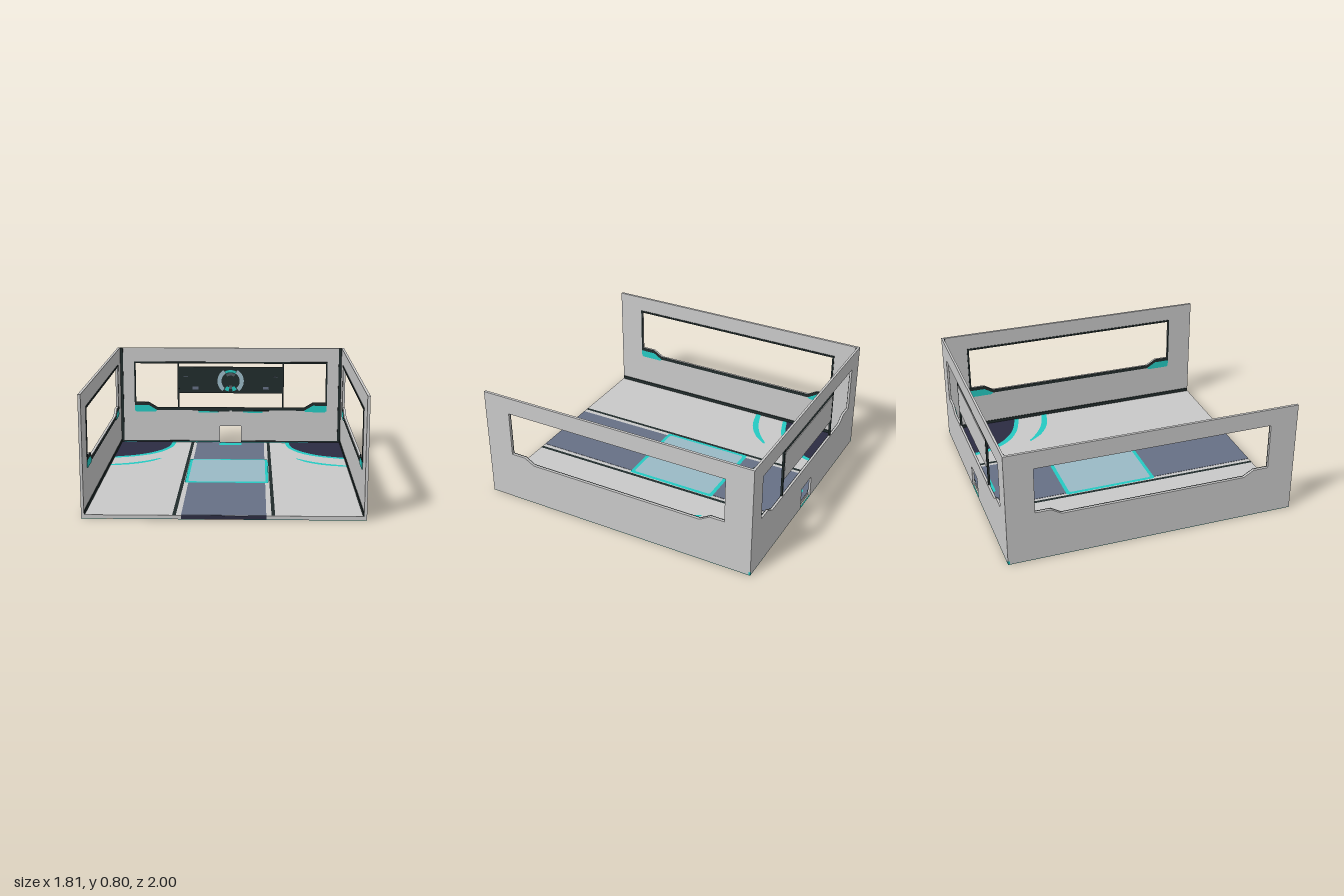
import * as THREE from 'three';

const mat = (name, color, side = THREE.FrontSide) => {
  const m = new THREE.MeshStandardMaterial({ color, side });
  m.name = name;
  return m;
};

export function createModel() {
  const model = new THREE.Group();
  model.name = 'room';
  const grey = mat('wall grey', 0xc9c9c9);
  const dark = mat('dark trim', 0x212c2c);
  const teal = mat('teal accent', 0x24cac2);
  const navy = mat('navy floor', 0x2c2c42);
  const slate = mat('slate walkway', 0x667085);
  const glass = mat('pale blue panel', 0x9abac6);
  const steel = mat('steel grey', 0x555d63);

  const W = 0.905, SIDE_T = 0.018, BACK_T = 0.015, FLOOR = 0.025, INNER = W - SIDE_T;

  const add = (parent, name, geo, material, x = 0, y = 0, z = 0) => {
    const m = new THREE.Mesh(geo, material);
    m.name = name;
    m.position.set(x, y, z);
    parent.add(m);
    return m;
  };
  const box = (parent, name, material, w, h, d, x, y, z) =>
    add(parent, name, new THREE.BoxGeometry(w, h, d), material, x, y, z);
  const v2 = (pts) => pts.map(([x, y]) => new THREE.Vector2(x, y));
  const extrude = (shape, depth) =>
    new THREE.ExtrudeGeometry(shape, { depth, bevelEnabled: false, curveSegments: 8 });
  const roundedRect = (w, h, r) => {
    const s = new THREE.Shape(), a = w / 2, b = h / 2;
    s.moveTo(-a + r, -b);
    s.lineTo(a - r, -b).quadraticCurveTo(a, -b, a, -b + r);
    s.lineTo(a, b - r).quadraticCurveTo(a, b, a - r, b);
    s.lineTo(-a + r, b).quadraticCurveTo(-a, b, -a, b - r);
    s.lineTo(-a, -b + r).quadraticCurveTo(-a, -b, -a + r, -b);
    return s;
  };
  // Flat floor marking from a shape drawn in (x, -z)
  const marking = (name, shape, material, lift, x = 0, z = 0) =>
    add(model, name, new THREE.ShapeGeometry(shape, 8).rotateX(-Math.PI / 2), material, x, FLOOR + lift, z);

  // Stepped window outline: h = half width, s = side growth, b = bottom growth
  const outline = (h, s, b) => {
    const half = [[h + s, 0.675 + s], [h + s, 0.36 - b], [h - 0.1, 0.36 - b], [h - 0.17, 0.318 - b]];
    return v2([...half, ...half.map(([x, y]) => [-x, y]).reverse()]);
  };

  // Wall panel standing on y = 0, outer face at local z = 0, inside towards +z
  const windowWall = (name, halfW, h, thick, frameDepth, door) => {
    const g = new THREE.Group();
    g.name = name;
    const pts = [[halfW, 0], [halfW, 0.8], [-halfW, 0.8], [-halfW, 0]];
    if (door) pts.push([-0.085, 0], [-0.085, 0.16], [0.085, 0.16], [0.085, 0]);
    const panel = new THREE.Shape(v2(pts));
    panel.holes.push(new THREE.Path(outline(h, 0.004, 0.004)));
    add(g, 'wallPanel', extrude(panel, thick), grey);
    const ring = new THREE.Shape(outline(h, 0.013, 0.026));
    ring.holes.push(new THREE.Path(outline(h, 0, 0)));
    add(g, 'windowFrame', extrude(ring, frameDepth), dark, 0, 0, thick);
    // Teal wedges under the raised frame ends
    for (const s of [-1, 1]) {
      const wedge = new THREE.Shape(v2([
        [s * (h + 0.012), 0.334], [s * (h - 0.1), 0.334], [s * (h - 0.17), 0.292],
        [s * (h - 0.155), 0.28], [s * (h - 0.002), 0.28], [s * (h + 0.012), 0.29]]));
      add(g, 'frameWedge', extrude(wedge, frameDepth * 0.8), teal, 0, 0, thick);
    }
    model.add(g);
    return g;
  };

  // Floor slab and teal edging beneath
  box(model, 'floor', grey, 2 * INNER, FLOOR - 0.002, 2 - BACK_T, 0, FLOOR / 2 + 0.001, BACK_T / 2);
  for (const s of [-1, 1]) {
    box(model, 'baseEdge', teal, 0.01, 0.003, 2, s * (W - 0.005), 0, 0).position.y = 0.0005;
    box(model, 'baseEdge', teal, 2 * W, 0.003, 0.008, 0, 0.0005, s * 0.996);
    box(model, 'baseCorner', teal, 0.012, 0.025, 0.012, s * (W - 0.0055), 0.0135, -0.9945);
  }
  box(model, 'floorTop', grey, 2 * INNER, 0.002, 2 - BACK_T, 0, FLOOR - 0.001, BACK_T / 2);

  // Walls
  const back = windowWall('backWall', INNER, 0.763, BACK_T, 0.008, true);
  back.position.z = -1;
  for (const s of [-1, 1]) {
    const wall = windowWall(s > 0 ? 'leftWall' : 'rightWall', 1, 0.805, SIDE_T, 0.005, false);
    wall.rotation.y = -s * Math.PI / 2;
    wall.position.x = s * W;
    // Corner and skirting trims
    box(model, 'cornerTrim', dark, 0.022, 0.77, 0.006, s * (INNER - 0.011), 0.414, -0.982);
    box(model, 'sideSkirting', dark, 0.006, 0.025, 1.97, s * (INNER - 0.003), FLOOR + 0.0125, 0.01);
    // Skirting each side of the doorway
    box(model, 'backSkirting', dark, 0.79, 0.012, 0.004, s * 0.481, 0.034, -0.983);
    box(model, 'backSkirtingLine', teal, 0.79, 0.005, 0.006, s * 0.481, 0.0275, -0.982);
    // Mullions and small accents under the back window
    box(back, 'mullion', dark, 0.013, 0.37, 0.014, s * 0.421, 0.495, 0.012);
    box(back, 'sillAccent', teal, 0.16, 0.012, 0.006, s * 0.18, 0.279, 0.018);
    box(back, 'sillLine', dark, 0.3, 0.006, 0.007, s * 0.16, 0.287, 0.0185);
  }

  // Display between the mullions, grey on the outside
  box(back, 'display', dark, 0.84, 0.215, 0.008, 0, 0.54, 0.014);
  box(back, 'displayBack', grey, 0.82, 0.205, 0.006, 0, 0.54, 0.008);
  const arc = (name, r0, r1, start, len, material, z) =>
    add(back, name, new THREE.RingGeometry(r0, r1, 20, 1, start, len), material, 0, 0.532, z);
  const P = Math.PI;
  arc('dialLeftArc', 0.073, 0.106, -0.28 * P, 0.6 * P, glass, 0.0195);
  arc('dialRightArc', 0.073, 0.106, 0.68 * P, 0.6 * P, glass, 0.0195);
  arc('dialTopArc', 0.072, 0.09, 0.33 * P, 0.34 * P, teal, 0.0195);
  arc('dialTopInset', 0.045, 0.066, 0.3 * P, 0.4 * P, steel, 0.0195);
  for (const s of [-1, 1]) {
    arc('dialLowerArc', 0.05, 0.085, (s > 0 ? 1.56 : 1.3) * P, 0.14 * P, teal, 0.0205);
    box(back, 'displayButton', slate, 0.045, 0.022, 0.003, s * 0.283, 0.474, 0.019);
    box(back, 'displayMark', slate, 0.035, 0.006, 0.003, s * 0.36, 0.566, 0.019);
  }
  arc('dialBottom', 0.035, 0.066, 1.4 * P, 0.2 * P, steel, 0.02);

  // Walkway with edge lines, threshold and centre panel
  box(model, 'walkway', slate, 0.54, 0.002, 1.98, 0, FLOOR + 0.001, 0.008);
  box(model, 'threshold', navy, 0.54, 0.024, 0.004, 0, 0.0125, 0.9985);
  for (const s of [-1, 1]) {
    marking('walkwayLine', new THREE.Shape(v2([
      [s * 0.294, 0.98], [s * 0.317, 0.98], [s * 0.326, -0.998], [s * 0.303, -0.998]])), dark, 0.0015);
  }
  marking('centrePanelBorder', roundedRect(0.59, 0.66, 0.02), teal, 0.004, 0, -0.085);
  marking('centrePanel', roundedRect(0.545, 0.61, 0.02), glass, 0.006, 0, -0.085);
  marking('doorMat', roundedRect(0.18, 0.078, 0.02), teal, 0.004, 0, -0.912);

  // Curved corner zones and sweeping arcs, mirrored
  const spline = (pts, s) =>
    new THREE.SplineCurve(v2(pts.map(([x, z]) => [s * x, -z]))).getPoints(20);
  const rim = [[0.44, -0.984], [0.462, -0.8], [0.555, -0.62], [0.7, -0.51], [INNER, -0.445]];
  const zone = [[0.47, -0.984], [0.492, -0.8], [0.585, -0.645], [0.715, -0.54], [INNER, -0.478]];
  const near = [[0.51, -0.45], [0.59, -0.345], [0.72, -0.262], [INNER, -0.218]];
  const far = [[INNER, -0.255], [0.74, -0.302], [0.62, -0.37], [0.525, -0.455]];
  for (const s of [-1, 1]) {
    const corner = new THREE.Vector2(s * INNER, 0.984);
    marking('cornerZoneRim', new THREE.Shape([...spline(rim, s), corner]), teal, 0.002);
    marking('cornerZone', new THREE.Shape([...spline(zone, s), corner]), navy, 0.004);
    marking('floorArc', new THREE.Shape([...spline(near, s), ...spline(far, s)]), teal, 0.002);
  }
  return model;
}
